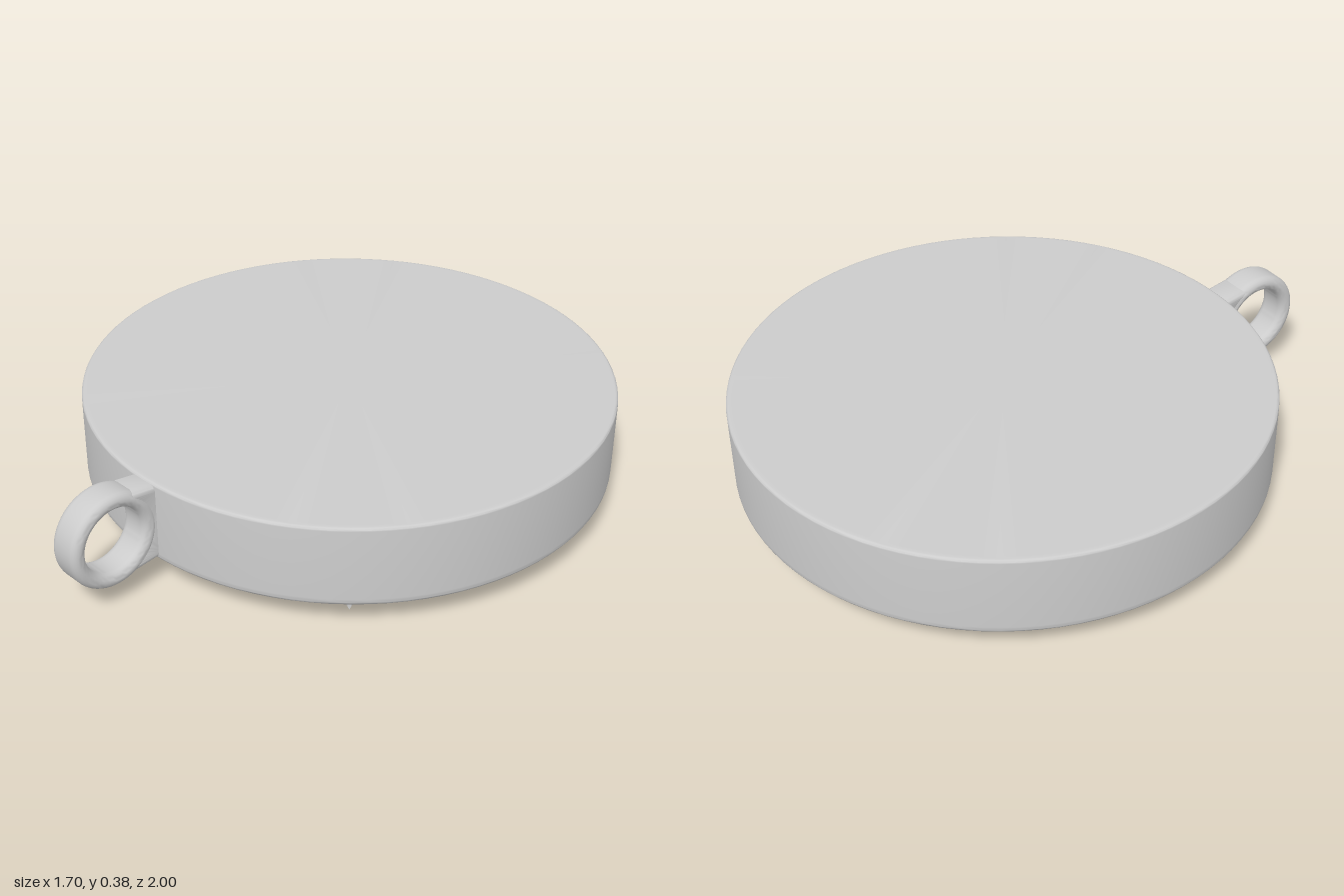
import * as THREE from 'three';
import { toCreasedNormals } from 'three/addons/utils/BufferGeometryUtils.js';

const grey = new THREE.MeshStandardMaterial({ color: 0xcccccc });
const H = Math.PI / 2;
const CENTRE_Z = -0.15;   // middle of the disc
const FLOOR = 0.17;       // underside recess floor
const TOP = FLOOR + 0.01; // reliefs sink slightly into the floor

function part(name, geometry, crease = 0.6) {
  const mesh = new THREE.Mesh(toCreasedNormals(geometry, crease), grey);
  mesh.name = name;
  return mesh;
}

// Points on a rounded corner of a lathe profile
function corner(cx, cy, r, from, to, n = 6) {
  return Array.from({ length: n + 1 }, (_, i) => {
    const a = from + (to - from) * i / n;
    return new THREE.Vector2(cx + r * Math.cos(a), cy + r * Math.sin(a));
  });
}

// Straight bar along local x, from the recess floor down to y = bottom
function bar(x0, x1, bottom, halfWidth, xSegs = 1, zSegs = 1) {
  const g = new THREE.BoxGeometry(x1 - x0, TOP - bottom, halfWidth * 2, xSegs, 1, zSegs);
  return g.translate((x0 + x1) / 2, (TOP + bottom) / 2, 0);
}

function reshape(g, rule) {
  const p = g.attributes.position;
  const v = new THREE.Vector3();
  for (let i = 0; i < p.count; i++) {
    rule(v.fromBufferAttribute(p, i));
    p.setXYZ(i, v.x, v.y, v.z);
  }
  return g;
}

// Sword relief pointing along +x: blade, curved guard, grip and pommel
function sword(name, angle, bottom, guardBottom, endLift) {
  const group = new THREE.Group();
  group.name = name;
  group.rotation.y = angle;
  group.position.z = CENTRE_Z;

  const blade = reshape(bar(-0.33, 0.775, bottom, 0.06, 10, 2), v => {
    const t = (v.x + 0.33) / 1.105;
    if (v.y < 0.1) v.y += (Math.abs(v.z) > 0.01 ? 0.012 : 0) + 0.006 * t;
    v.z *= t > 0.95 ? 0.1 : t > 0.85 ? 0.75 : 1 - 0.15 * t;
  });
  group.add(part('blade', blade, 0.2));

  const guard = reshape(bar(-0.355, -0.305, guardBottom, 0.228, 1, 16), v => {
    const s = Math.abs(v.z) / 0.228;
    v.x -= 0.04 * s * s;
    if (v.y < 0.1) v.y += endLift * s * s;
  });
  group.add(part('guard', guard));

  group.add(part('grip', bar(-0.67, -0.33, bottom + 0.015, 0.06)));

  // Pommel: block with a rounded lower end
  const pommel = new THREE.Shape();
  pommel.moveTo(-0.65, TOP);
  pommel.lineTo(-0.72, TOP);
  pommel.lineTo(-0.72, bottom + 0.025);
  pommel.absarc(-0.7, bottom + 0.025, 0.02, 2 * H, 3 * H, false);
  pommel.lineTo(-0.65, bottom + 0.005);
  pommel.closePath();
  const block = new THREE.ExtrudeGeometry(pommel, { depth: 0.13, bevelEnabled: false, curveSegments: 6 });
  group.add(part('pommel', block.translate(0, 0, -0.065)));
  return group;
}

export function createModel() {
  const model = new THREE.Group();
  model.name = 'medallion';

  // Disc with a recessed underside and rounded rim
  const profile = [
    new THREE.Vector2(0, FLOOR),
    new THREE.Vector2(0.76, FLOOR),
    new THREE.Vector2(0.775, FLOOR),
    ...corner(0.805, 0.118, 0.03, 2 * H, 3 * H),
    ...corner(0.83, 0.108, 0.02, -H, 0),
    new THREE.Vector2(0.85, 0.115),
    new THREE.Vector2(0.85, 0.34),
    ...corner(0.84, 0.35, 0.01, 0, H, 4),
    new THREE.Vector2(0.83, 0.36),
    new THREE.Vector2(0, 0.36),
  ];
  const disc = part('disc', new THREE.LatheGeometry(profile, 96));
  disc.position.z = CENTRE_Z;
  model.add(disc);

  // Hanging ring with a rounded, wide section
  const ringProfile = [
    ...corner(0.13, 0.03, 0.025, 0, 2 * H, 10),
    ...corner(0.13, -0.03, 0.025, 2 * H, 4 * H, 10),
    new THREE.Vector2(0.155, 0.03),
  ];
  const ring = part('hangingRing', new THREE.LatheGeometry(ringProfile, 64), 1);
  ring.rotation.z = H;
  ring.position.set(0, 0.23, 0.845);
  model.add(ring);

  // Neck joining the ring to the disc (shape x runs along +z)
  const neckShape = new THREE.Shape();
  neckShape.moveTo(0.68, 0.118);
  neckShape.lineTo(0.80, 0.108);
  neckShape.absarc(0.845, 0.23, 0.13, 4.36, 1.92, true);
  neckShape.lineTo(0.80, 0.352);
  neckShape.lineTo(0.68, 0.332);
  neckShape.closePath();
  const neck = new THREE.ExtrudeGeometry(neckShape, {
    depth: 0.066, bevelThickness: 0.02, bevelSize: 0.018, bevelSegments: 5, curveSegments: 24,
  });
  model.add(part('ringNeck', neck.translate(0, 0, -0.033).rotateY(-H), 0.8));

  // Crossed swords in relief under the disc
  model.add(sword('lowerSword', -Math.PI / 4, 0.015, 0, 0.02));
  model.add(sword('upperSword', -3 * Math.PI / 4, 0.045, 0.06, -0.005));
  return model;
}
